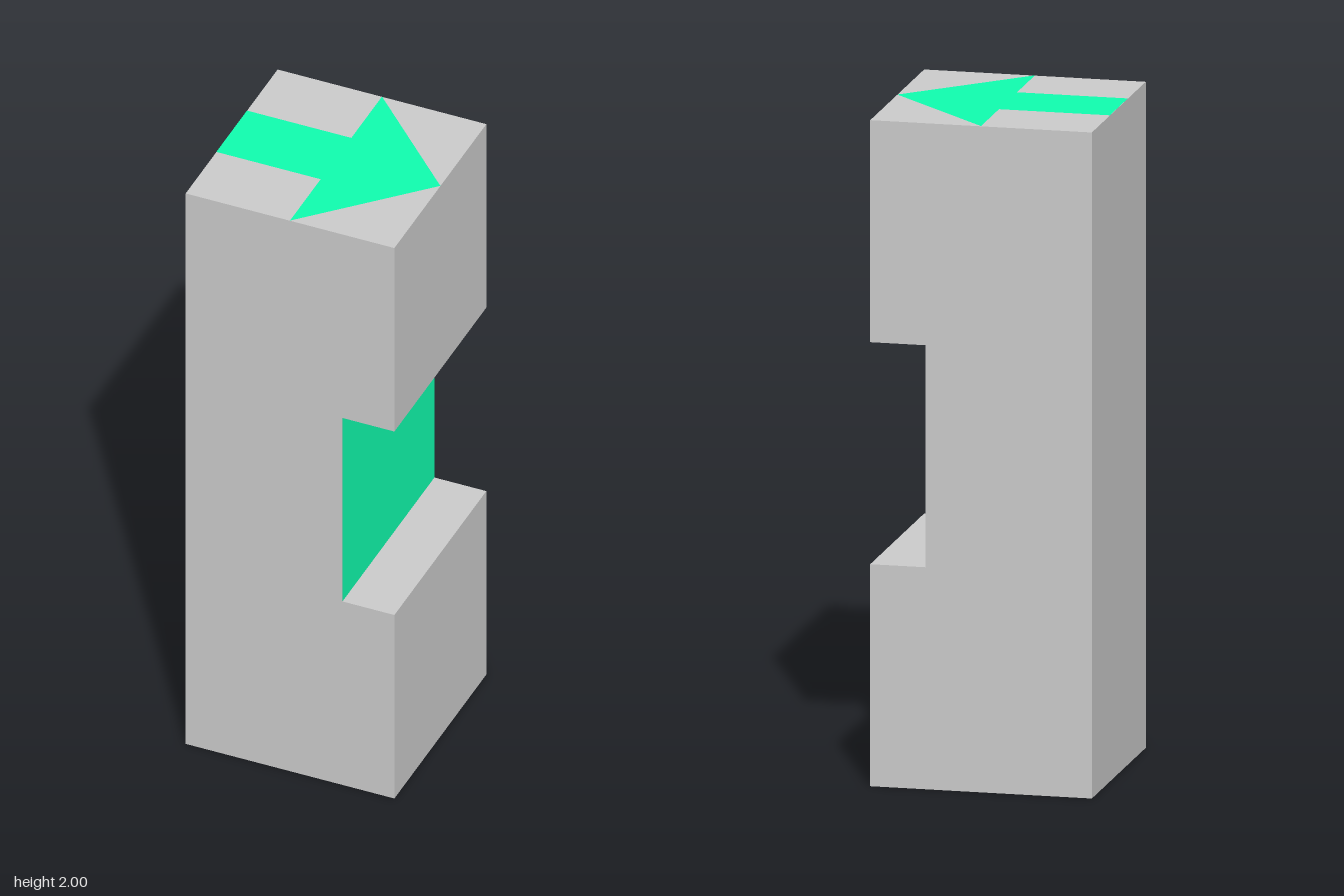
import * as THREE from 'three';

const HALF = 1 / 3;      // half the width and depth of the pillar
const HEIGHT = 2;
const NOTCH_X = 1 / 6;   // depth plane of the notch
const NOTCH_Y = [2 / 3, 4 / 3];
const LIFT = 0.0008;     // keeps painted faces just clear of the body

const shapeFrom = (points) => new THREE.Shape(points.map(([x, y]) => new THREE.Vector2(x, y)));

function addPart(group, name, geometry, material) {
  const mesh = new THREE.Mesh(geometry, material);
  mesh.name = name;
  group.add(mesh);
  return mesh;
}

export function createModel() {
  const group = new THREE.Group();
  group.name = 'notchedPillar';
  const grey = new THREE.MeshStandardMaterial({ color: 0xcccccc, flatShading: true });
  const green = new THREE.MeshStandardMaterial({ color: 0x10fdaf });

  // Pillar: C-shaped profile extruded along z
  const [low, high] = NOTCH_Y;
  const profile = shapeFrom([
    [-HALF, 0], [HALF, 0], [HALF, low], [NOTCH_X, low],
    [NOTCH_X, high], [HALF, high], [HALF, HEIGHT], [-HALF, HEIGHT],
  ]);
  const body = new THREE.ExtrudeGeometry(profile, { depth: 2 * HALF, bevelEnabled: false });
  body.translate(0, 0, -HALF);
  addPart(group, 'pillarBody', body, grey);

  // Coloured panel on the inner wall of the notch, facing +x
  const panel = new THREE.PlaneGeometry(2 * HALF, high - low);
  panel.rotateY(Math.PI / 2);
  addPart(group, 'notchPanel', panel, green).position.set(NOTCH_X + LIFT, (low + high) / 2, 0);

  // Arrow on the top face, pointing to +x
  const shaft = HALF / 3;
  const arrow = new THREE.ShapeGeometry(shapeFrom([
    [-HALF, -shaft], [0, -shaft], [0, -HALF], [HALF, 0],
    [0, HALF], [0, shaft], [-HALF, shaft],
  ]));
  arrow.rotateX(-Math.PI / 2);
  addPart(group, 'topArrow', arrow, green).position.y = HEIGHT + LIFT;

  return group;
}
